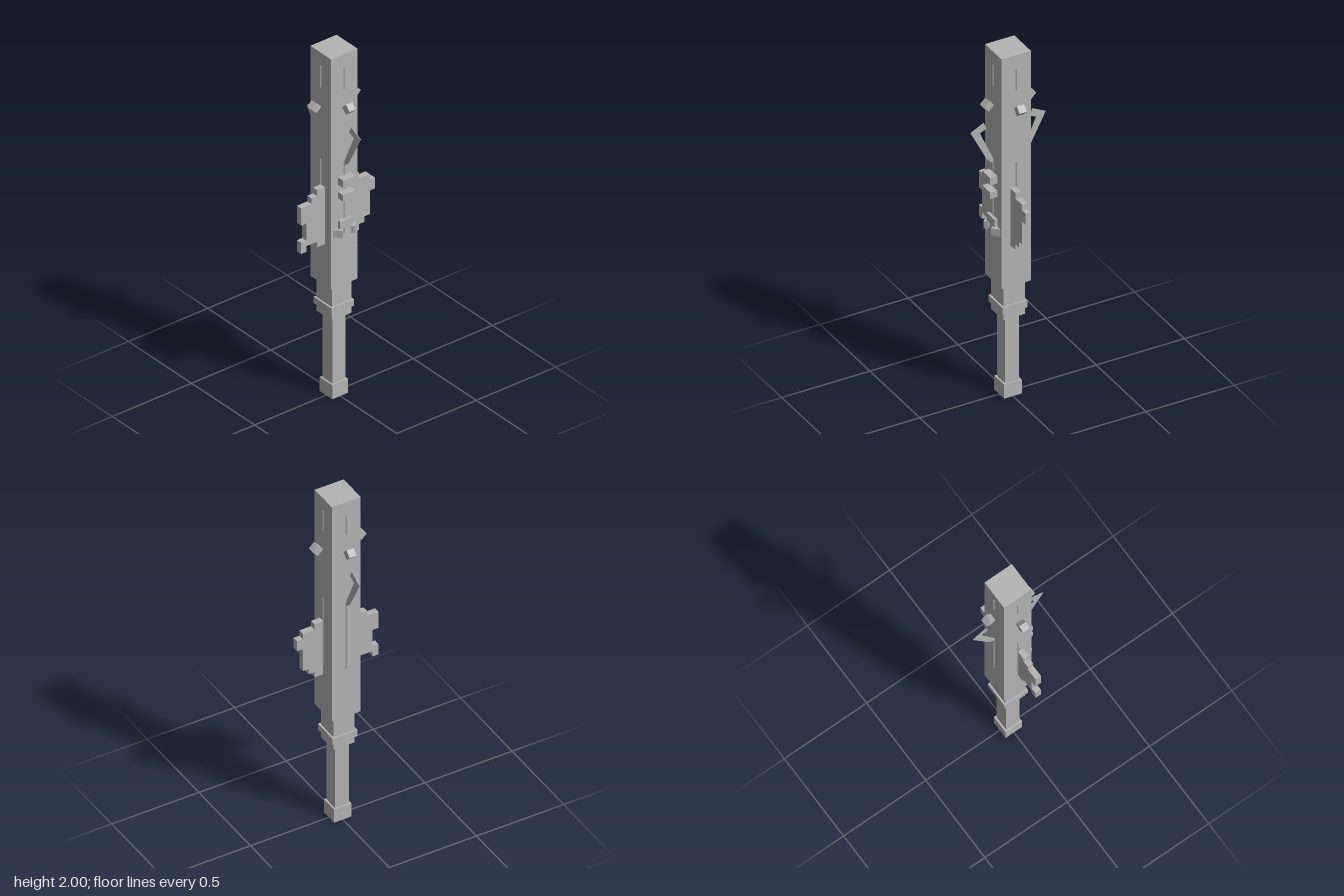
import * as THREE from 'three';

export function createModel() {
  const model = new THREE.Group();
  model.name = 'squareStaff';
  const grey = new THREE.MeshStandardMaterial({ color: 0xb4b4b4 });
  grey.name = 'plain grey';

  const add = (name, geometry, x = 0, y = 0, z = 0) => {
    const mesh = new THREE.Mesh(geometry, grey);
    mesh.name = name;
    mesh.position.set(x, y, z);
    model.add(mesh);
    return mesh;
  };
  const box = (name, w, y0, y1, d, x = 0, z = 0) =>
    add(name, new THREE.BoxGeometry(w, y1 - y0, d), x, (y0 + y1) / 2, z);
  const extrude = (points, depth) => {
    const shape = new THREE.Shape(points.map(([x, y]) => new THREE.Vector2(x, y)));
    return new THREE.ExtrudeGeometry(shape, { depth, bevelEnabled: false });
  };

  // Square shaft, from the foot up
  for (const [name, half, y0, y1] of [
    ['pommel', 0.05, 0, 0.081],
    ['grip', 0.04, 0.081, 0.465],
    ['lowerCollar', 0.061, 0.465, 0.507],
    ['collarRing', 0.071, 0.507, 0.545],
    ['neck', 0.061, 0.545, 0.665],
    ['mainShaft', 0.083, 0.665, 2],
  ]) box(name, half * 2, y0, y1, half * 2);

  // Edge-on ribs and diamond studs on all four sides
  for (let i = 0; i < 4; i++) {
    const a = (i * Math.PI) / 2;
    const dx = Math.sin(a), dz = Math.cos(a);
    for (const [name, y0, y1] of [['upperRib', 1.8, 1.922], ['lowerRib', 0.963, 1.382]]) {
      box(name, 0.009, y0, y1, 0.009, dx * 0.082, dz * 0.082).rotation.y = Math.PI / 4;
    }
    const stud = add('diamondStud', new THREE.BoxGeometry(0.041, 0.041, 0.041), dx * 0.12, 1.703, dz * 0.125);
    stud.rotation.set(Math.PI / 4, a, 0, 'YXZ');
  }

  // Thin hooked wings on both sides
  const hook = [[0.07, 1.36], [0.085, 1.353], [0.12, 1.387], [0.213, 1.566],
    [0.138, 1.604], [0.122, 1.567], [0.16, 1.549], [0.085, 1.383]];
  for (const side of [-1, 1]) {
    add(side > 0 ? 'leftWing' : 'rightWing',
      extrude(hook.map(([x, y]) => [x * side, y]), 0.003), 0, 0, -0.0015);
  }

  // Stepped blades before and behind the shaft, drawn as (z, y)
  const frontBlade = [[0, 1.236], [0.132, 1.236], [0.132, 1.203], [0.167, 1.203], [0.167, 1.17],
    [0.233, 1.17], [0.233, 1.07], [0.2, 1.07], [0.2, 0.97], [0.233, 0.97], [0.233, 0.905],
    [0.2, 0.905], [0.2, 0.938], [0.132, 0.938], [0.132, 0.905], [0, 0.905]];
  const backBlade = [[0, 1.236], [-0.133, 1.236], [-0.133, 1.203], [-0.2, 1.203], [-0.2, 1.17],
    [-0.233, 1.17], [-0.233, 1.107], [-0.2, 1.107], [-0.2, 0.97], [-0.167, 0.97],
    [-0.167, 0.938], [-0.133, 0.938], [-0.133, 0.905], [0, 0.905]];
  for (const [name, points] of [['frontBlade', frontBlade], ['backBlade', backBlade]]) {
    add(name, extrude(points.map(([z, y]) => [-z, y]), 0.033)).rotation.y = Math.PI / 2;
  }

  // Blocks stacked on the left face
  box('topBlock', 0.05, 1.257, 1.3, 0.08, 0.099);
  box('middleBlock', 0.05, 1.178, 1.216, 0.08, 0.099);
  box('lowBlock', 0.03, 1.005, 1.05, 0.08, 0.085);

  // Slanted claws leaning towards each other below the blocks
  const claw = [[0.073, 0.083], [0.038, 0.118], [0.022, 0.102], [0.041, 0.083], [0.041, 0.075], [0.073, 0.075]];
  for (const side of [-1, 1]) {
    const mesh = add('claw', extrude(claw.map(([z, x]) => [x, z * side]), 0.042), 0, 1.005, 0);
    mesh.rotation.x = Math.PI / 2;
  }
  return model;
}
